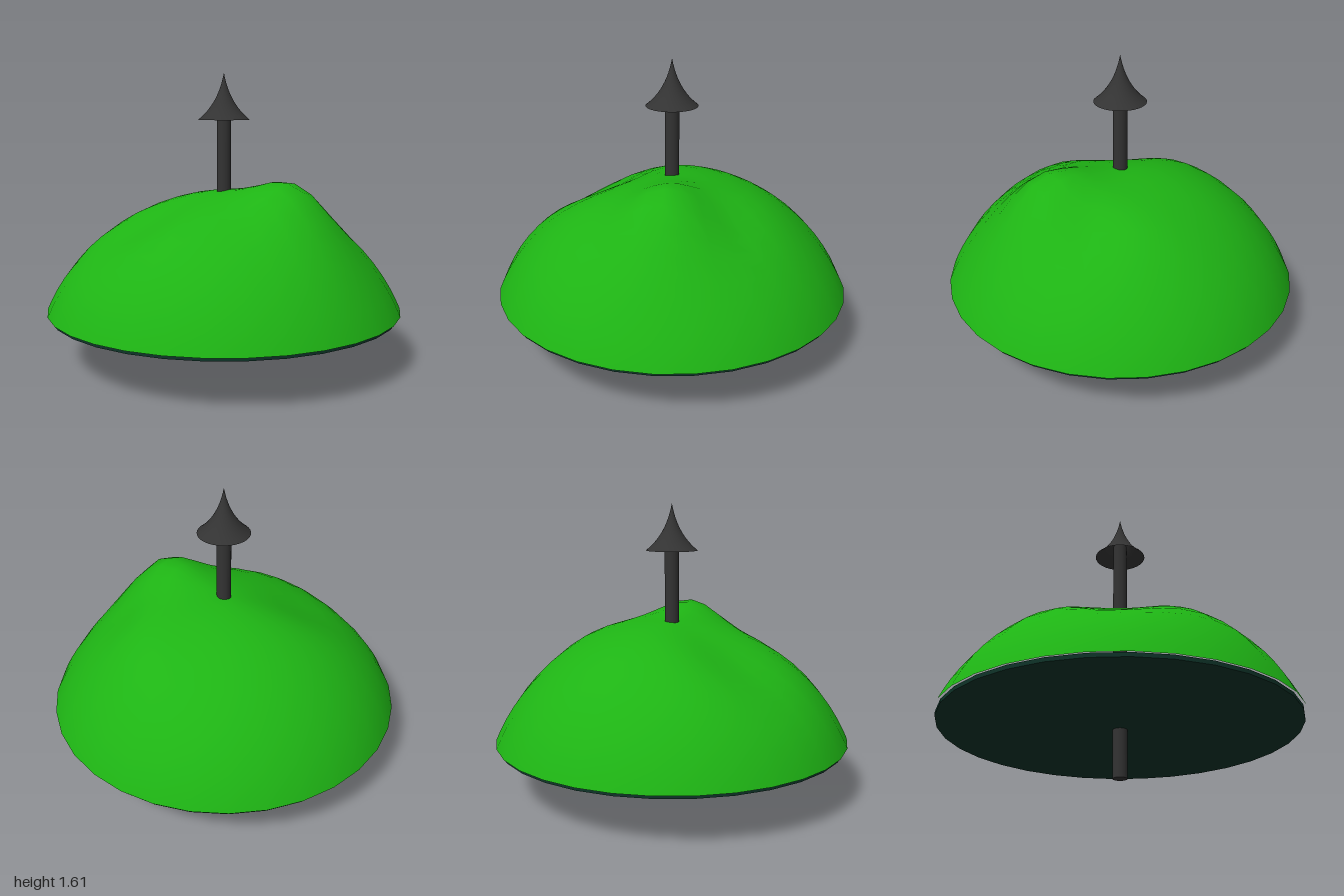
import * as THREE from 'three';
import { mergeVertices } from 'three/addons/utils/BufferGeometryUtils.js';

const SIDES = 32;
const CAP_RADIUS = 1.084;   // sphere the mound is a cap of
const CAP_CENTER_Y = -0.129;

// Sculpted hills and hollows: centre x, centre z, width x, width z, height
const SCULPT = [
  [0.28, 0.40, 0.17, 0.20, 0.165],
  [-0.50, 0.06, 0.22, 0.18, -0.085],
  [0.52, -0.15, 0.15, 0.20, 0.035],
  [0.54, 0.16, 0.09, 0.09, -0.03],
];

function moundHeight(x, z) {
  const fade = Math.min(1, (1 - Math.hypot(x, z)) * 6); // keeps the rim level
  let y = CAP_CENTER_Y + Math.sqrt(CAP_RADIUS ** 2 - x * x - z * z);
  for (const [cx, cz, sx, sz, h] of SCULPT) {
    y += fade * h * Math.exp(-0.5 * (((x - cx) / sx) ** 2 + ((z - cz) / sz) ** 2));
  }
  return y;
}

function add(group, name, geometry, color, side = THREE.FrontSide) {
  const mesh = new THREE.Mesh(geometry, new THREE.MeshStandardMaterial({ color, side }));
  mesh.name = name;
  group.add(mesh);
  return mesh;
}

function moundGeometry() {
  const rings = 14;
  const profile = [];
  for (let i = 0; i <= rings; i++) {
    profile.push(new THREE.Vector2(i === rings ? 0 : Math.cos((i / rings) * Math.PI / 2), i / rings));
  }
  let geometry = new THREE.LatheGeometry(profile, SIDES);
  const pos = geometry.attributes.position;
  for (let i = 0; i < pos.count; i++) {
    pos.setY(i, moundHeight(pos.getX(i), pos.getZ(i)));
  }
  // Weld the seam so the shading stays smooth all round
  geometry.deleteAttribute('normal');
  geometry.deleteAttribute('uv');
  geometry = mergeVertices(geometry, 1e-4);
  geometry.computeVertexNormals();
  return geometry;
}

export function createModel() {
  const model = new THREE.Group();
  model.name = 'moundOnSpike';

  add(model, 'mound', moundGeometry(), 0x1eb414);

  // Thin dark plate closing the underside
  const base = add(model, 'basePlate', new THREE.CylinderGeometry(0.985, 0.985, 0.022, SIDES), 0x0e3328);
  base.position.y = 0.281;

  // Pole running right through the mound
  const pole = add(model, 'pole', new THREE.CylinderGeometry(0.04, 0.04, 1.42, SIDES), 0x333333);
  pole.position.y = 0.71;

  // Hollow flared tip
  const flare = new THREE.QuadraticBezierCurve(
    new THREE.Vector2(0.145, 1.35), new THREE.Vector2(0.03, 1.44), new THREE.Vector2(0, 1.61));
  add(model, 'spearTip', new THREE.LatheGeometry(flare.getPoints(12), SIDES), 0x333333, THREE.DoubleSide);

  return model;
}
